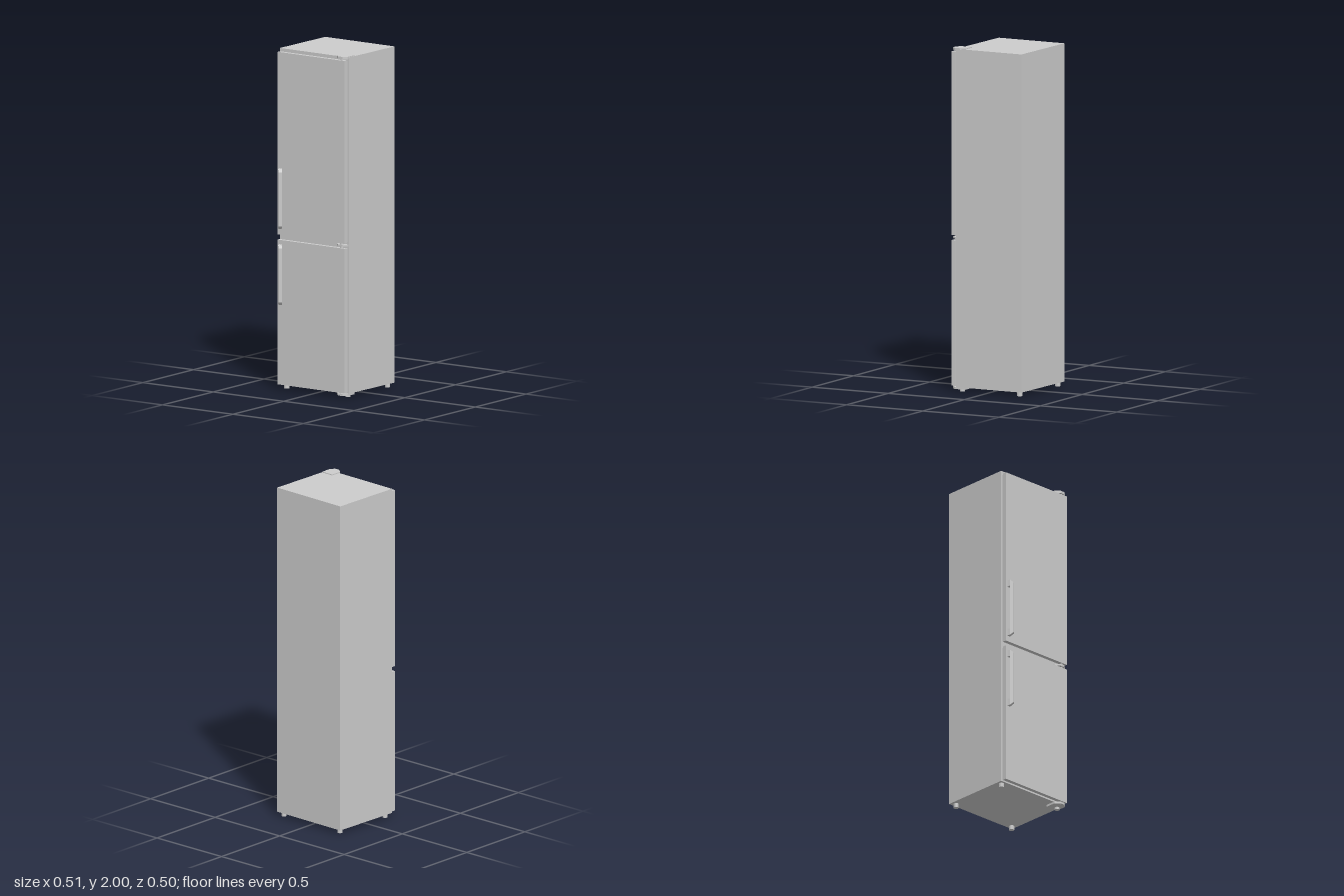
import * as THREE from 'three';
import { ConvexGeometry } from 'three/addons/geometries/ConvexGeometry.js';

const TURN = -0.02; // the cabinet stands slightly turned about y

const grey = new THREE.MeshStandardMaterial({ color: 0xcccccc, flatShading: true });

function add(parent, name, geometry, x = 0, y = 0, z = 0) {
  const mesh = new THREE.Mesh(geometry, grey);
  mesh.name = name;
  mesh.position.set(x, y, z);
  parent.add(mesh);
  return mesh;
}

// Box given by half width, y range and z range
function slab(parent, name, halfWidth, y0, y1, z0, z1) {
  return add(parent, name, new THREE.BoxGeometry(halfWidth * 2, y1 - y0, z1 - z0),
    0, (y0 + y1) / 2, (z0 + z1) / 2);
}

// Horizontal plate from an outline of [x, z] points
function plate(parent, name, outline, y0, y1) {
  const shape = new THREE.Shape(outline.map(([x, z]) => new THREE.Vector2(x, -z)));
  const geometry = new THREE.ExtrudeGeometry(shape, { depth: y1 - y0, bevelEnabled: false });
  geometry.rotateX(-Math.PI / 2);
  return add(parent, name, geometry, 0, y0, 0);
}

// Solid between a back and a front rectangle edge, each [x, z, yLow, yHigh]
function wedge(parent, name, edges) {
  const points = edges.flatMap(([x, z, lo, hi]) =>
    [new THREE.Vector3(x, lo, z), new THREE.Vector3(x, hi, z)]);
  return add(parent, name, new ConvexGeometry(points));
}

function makeHandle(y0, y1) {
  const handle = new THREE.Group();
  handle.name = 'handle';
  // Angled grip bar, shorter on its outer face
  wedge(handle, 'gripBar', [
    [-0.229, 0.236, y0 + 0.004, y1 - 0.004], [-0.212, 0.225, y0 + 0.004, y1 - 0.004],
    [-0.199, 0.238, y0 + 0.02, y1 - 0.02], [-0.216, 0.25, y0 + 0.02, y1 - 0.02],
  ]);
  // Mounting stems at both ends
  for (const [lo, hi] of [[y0, y0 + 0.045], [y1 - 0.045, y1]]) {
    wedge(handle, 'handleStem', [
      [-0.237, 0.215, lo, hi], [-0.214, 0.216, lo, hi],
      [-0.229, 0.236, lo + 0.004, hi - 0.004], [-0.212, 0.225, lo + 0.004, hi - 0.004],
    ]);
  }
  return handle;
}

export function createModel() {
  const model = new THREE.Group();
  model.name = 'fridgeFreezer';

  const cabinet = new THREE.Group();
  cabinet.name = 'cabinet';
  cabinet.position.z = -0.027;
  cabinet.rotation.y = TURN;
  model.add(cabinet);

  slab(cabinet, 'body', 0.249, 0.025, 1.995, -0.218, 0.218);

  // Doors with stepped seals behind them
  for (const [name, y0, y1] of [['lowerDoor', 0.03, 0.878], ['upperDoor', 0.908, 1.978]]) {
    slab(cabinet, name, 0.2415, y0, y1, 0.227, 0.25);
    slab(cabinet, 'sealInner', 0.237, y0 + 0.005, y1 - 0.005, 0.218, 0.2225);
    slab(cabinet, 'sealOuter', 0.232, y0 + 0.009, y1 - 0.009, 0.2225, 0.227);
  }

  // Feet
  for (const x of [-0.22, 0.22]) {
    for (const z of [-0.19, 0.19]) {
      add(cabinet, 'foot', new THREE.CylinderGeometry(0.015, 0.015, 0.03, 16), x, 0.015, z);
    }
  }

  // Hinges on the left side of the doors
  const front = [[0.242, 0.195], [0.241, 0.206], [0.221, 0.226], [0.189, 0.226], [0.163, 0.2], [0.163, 0.194]];
  const back = [[0.164, 0.135], [0.242, 0.136]];
  const hinges = new THREE.Group();
  hinges.name = 'hinges';
  model.add(hinges);
  plate(hinges, 'topHingePlate', [...back, ...front], 1.99, 2);
  plate(hinges, 'topHingeFront', front, 1.985, 1.99);
  plate(hinges, 'middleHinge', front, 0.888, 0.899);
  plate(hinges, 'bottomHinge', [...back, ...front], 0.013, 0.025);
  for (const [y, height] of [[1.98, 0.014], [0.893, 0.034], [0.024, 0.024]]) {
    add(hinges, 'hingePin', new THREE.CylinderGeometry(0.008, 0.008, height, 16), 0.207, y, 0.212);
  }

  // Handles on the opening side
  model.add(makeHandle(0.497, 0.853), makeHandle(0.942, 1.298));

  return model;
}
